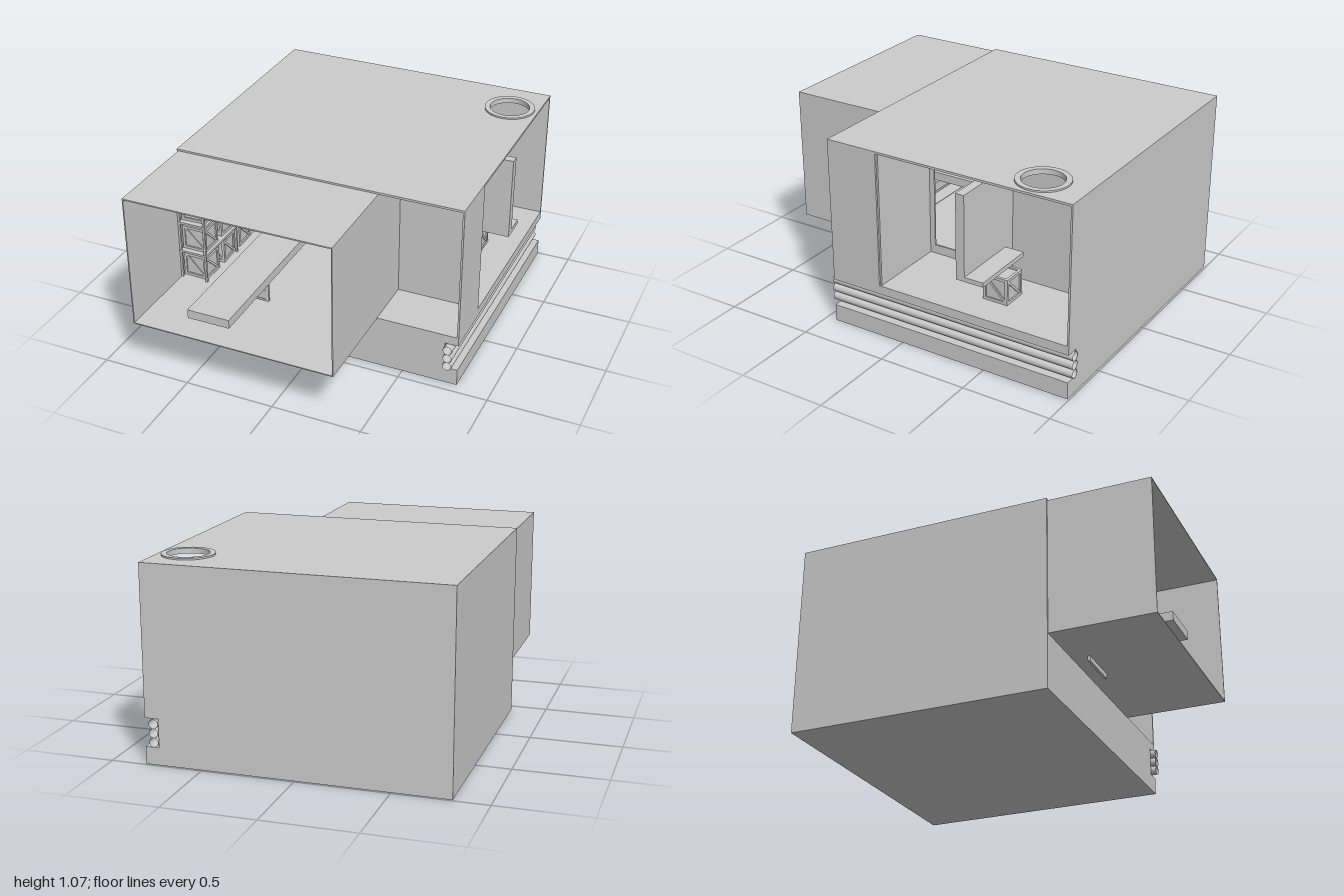
import * as THREE from 'three';

const material = new THREE.MeshStandardMaterial({ color: 0xcccccc, flatShading: true });
const smooth = new THREE.MeshStandardMaterial({ color: 0xcccccc, side: THREE.DoubleSide });

function add(parent, name, geometry, mat = material) {
  const mesh = new THREE.Mesh(geometry, mat);
  mesh.name = name;
  parent.add(mesh);
  return mesh;
}

// Box given by its lower and upper limits on each axis
function box(parent, name, x0, x1, y0, y1, z0, z1) {
  const mesh = add(parent, name, new THREE.BoxGeometry(x1 - x0, y1 - y0, z1 - z0));
  mesh.position.set((x0 + x1) / 2, (y0 + y1) / 2, (z0 + z1) / 2);
  return mesh;
}

const polygon = (points) => new THREE.Shape(points.map(([x, y]) => new THREE.Vector2(x, y)));
const extrude = (shape, depth) => new THREE.ExtrudeGeometry(shape, { depth, bevelEnabled: false, curveSegments: 24 });

// Framed crate standing on y with a brace on every side
function addCrate(parent, x, y, z, size, turn = 0) {
  const crate = new THREE.Group();
  crate.name = 'crate';
  crate.position.set(x, y + size / 2, z);
  crate.rotation.y = turn;
  parent.add(crate);
  const bar = size * 0.11;
  const h = size / 2;
  const c = h - bar / 2;
  box(crate, 'crateCore', -h + bar / 2, h - bar / 2, -h + bar / 2, h - bar / 2, -h + bar / 2, h - bar / 2);
  for (const a of [-c, c]) {
    for (const b of [-c, c]) {
      box(crate, 'crateBar', -h, h, a - bar / 2, a + bar / 2, b - bar / 2, b + bar / 2);
      box(crate, 'crateBar', a - bar / 2, a + bar / 2, -h, h, b - bar / 2, b + bar / 2);
      box(crate, 'crateBar', a - bar / 2, a + bar / 2, b - bar / 2, b + bar / 2, -h, h);
    }
  }
  for (let i = 0; i < 4; i++) {
    const side = new THREE.Group();
    side.name = 'crateSide';
    side.rotation.y = i * Math.PI / 2;
    const brace = add(side, 'crateBrace', new THREE.BoxGeometry((size - 2 * bar) * 1.38, bar * 0.8, bar * 0.4));
    brace.position.z = h - bar * 0.35;
    brace.rotation.z = -Math.PI / 4;
    crate.add(side);
  }
}

function addShell(model) {
  // Base with a slot for the pipes along its right side
  const base = polygon([[-0.81, 0], [0.81, 0], [0.81, 0.095], [0.735, 0.095],
    [0.735, 0.25], [0.81, 0.25], [0.81, 0.3], [-0.81, 0.3]]);
  add(model, 'base', extrude(base, 1.43)).position.z = -0.99;

  for (const y of [0.124, 0.174, 0.224]) {
    const pipe = add(model, 'pipe', new THREE.CylinderGeometry(0.025, 0.025, 1.47, 20, 1, true), smooth);
    pipe.rotation.x = Math.PI / 2;
    pipe.position.set(0.76, y, -0.265);
  }

  // Outer walls
  box(model, 'leftWall', -0.81, -0.8, 0.3, 1.05, -0.99, 0.44);
  box(model, 'backWall', -0.81, 0.81, 0.3, 1.05, -0.99, -0.98);
  box(model, 'rightWall', 0.8, 0.81, 0.3, 1.05, 0.14, 0.44);

  // Roof with a round hatch
  const roof = polygon([[-0.81, -0.44], [0.81, -0.44], [0.81, 0.99], [-0.81, 0.99]]);
  const hole = new THREE.Path();
  hole.absarc(0.65, 0.74, 0.11, 0, Math.PI * 2, true);
  roof.holes.push(hole);
  const roofMesh = add(model, 'roof', extrude(roof, 0.012));
  roofMesh.rotation.x = -Math.PI / 2;
  roofMesh.position.y = 1.05;

  const ring = new THREE.Shape();
  ring.absarc(0, 0, 0.14, 0, Math.PI * 2, false);
  const opening = new THREE.Path();
  opening.absarc(0, 0, 0.11, 0, Math.PI * 2, true);
  ring.holes.push(opening);
  const rim = add(model, 'hatchRim', extrude(ring, 0.028));
  rim.rotation.x = -Math.PI / 2;
  rim.position.set(0.65, 1.043, -0.74);

  // Front extension, open towards the front
  box(model, 'extensionFloor', -0.802, 0.35, 0.297, 0.303, 0.44, 1);
  box(model, 'extensionRoof', -0.802, 0.35, 1.045, 1.052, 0.44, 1);
  box(model, 'extensionLeftWall', -0.802, -0.796, 0.3, 1.05, 0.44, 1);
  box(model, 'extensionRightWall', 0.344, 0.35, 0.3, 1.05, 0.14, 1);
}

function addSideRoom(model) {
  box(model, 'alcoveWall', 0.344, 0.8, 0.3, 1.05, 0.13, 0.14);

  // Dividing wall with a window
  const wall = polygon([[-0.14, 0.3], [0.98, 0.3], [0.98, 1.05], [-0.14, 1.05]]);
  wall.holes.push(new THREE.Path([[-0.1, 0.35], [-0.1, 0.8], [0.3, 0.8], [0.3, 0.35]]
    .map(([x, y]) => new THREE.Vector2(x, y))));
  const divider = add(model, 'windowWall', extrude(wall, 0.01));
  divider.rotation.y = Math.PI / 2;
  divider.position.x = 0.34;
  box(model, 'wallHeader', 0.35, 0.355, 0.84, 1.05, -0.98, 0.13);

  // Raised partition with a post, a counter and a crate behind it
  box(model, 'partitionPost', 0.35, 0.42, 0.3, 1.05, -0.39, -0.34);
  box(model, 'partition', 0.42, 0.81, 0.48, 0.955, -0.39, -0.34);
  box(model, 'counter', 0.42, 0.81, 0.48, 0.505, -0.5, -0.39);
  addCrate(model, 0.56, 0.3, -0.46, 0.145);
}

function addShelves(model) {
  const shelves = new THREE.Group();
  shelves.name = 'shelves';
  model.add(shelves);
  for (const y of [0.47, 0.65, 0.83]) box(shelves, 'shelfBoard', -0.8, -0.63, y - 0.006, y + 0.006, -0.2, 0.51);
  for (const x of [-0.79, -0.64]) {
    for (const z of [-0.19, 0.15, 0.5]) box(shelves, 'shelfPost', x - 0.006, x + 0.006, 0.3, 0.84, z - 0.006, z + 0.006);
  }
  // Crates per row from the floor to the top board
  const rows = [[0.303, [0.41, 0.22, 0.03, -0.12]], [0.477, [0.41, 0.22, -0.08]],
    [0.657, [0.41, 0.2]], [0.837, [0.4, 0.2]]];
  rows.forEach(([y, places], r) => places.forEach((z, i) =>
    addCrate(shelves, -0.717, y, z, 0.14, ((r + i * 2) % 3 - 1) * 0.05)));
}

function addConveyor(model) {
  const conveyor = new THREE.Group();
  conveyor.name = 'conveyor';
  model.add(conveyor);
  box(conveyor, 'belt', -0.48, -0.24, 0.41, 0.46, -0.6, 0.98);
  // Supports
  for (const z of [0.53, -0.45]) {
    box(conveyor, 'supportFoot', -0.48, -0.24, 0.27, 0.306, z - 0.007, z + 0.007);
    box(conveyor, 'supportBrace', -0.48, -0.24, 0.315, 0.365, z - 0.007, z + 0.007);
    for (const x of [-0.47, -0.25]) box(conveyor, 'supportLeg', x - 0.01, x + 0.01, 0.3, 0.41, z - 0.007, z + 0.007);
  }
  // Hooded end of the belt
  box(conveyor, 'hoodTop', -0.48, -0.24, 0.605, 0.63, -0.6, -0.36);
  box(conveyor, 'hoodBack', -0.47, -0.25, 0.46, 0.605, -0.6, -0.58);
  for (const x of [-0.475, -0.245]) box(conveyor, 'hoodSide', x - 0.005, x + 0.005, 0.46, 0.605, -0.6, -0.36);
}

export function createModel() {
  const model = new THREE.Group();
  model.name = 'warehouse';
  addShell(model);
  addSideRoom(model);
  addShelves(model);
  addConveyor(model);
  return model;
}
